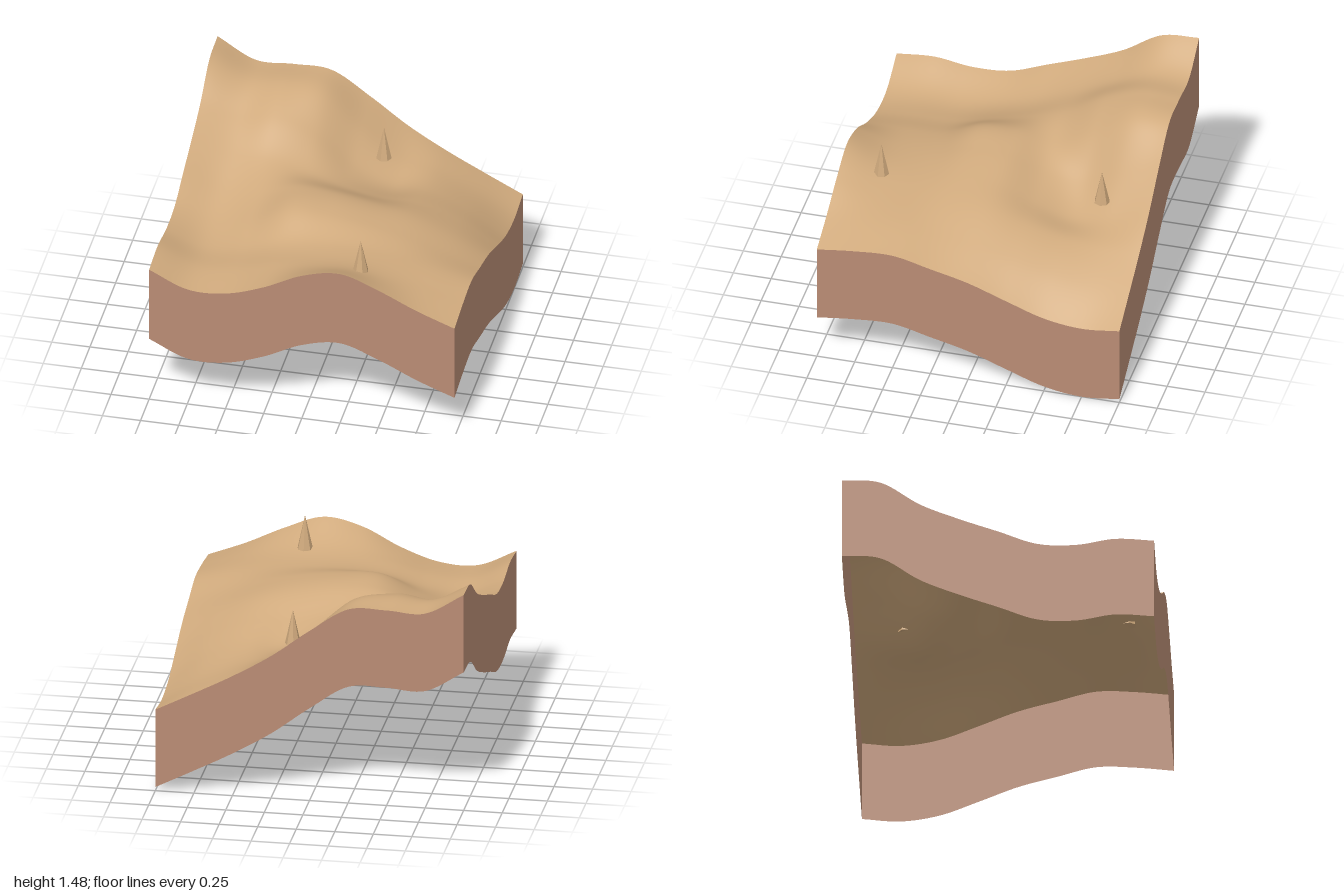
import * as THREE from 'three';

const SEGMENTS = 72;
const DEPTH = 0.533; // height of the cut sides

// Control heights every 0.25: rows run from back (z = -1) to front, columns from x = -1 to 1
const HEIGHTS = [
  [1.485, 1.34, 1.345, 1.335, 1.17, 0.98, 0.825, 0.69, 0.56],
  [1.46, 1.335, 1.35, 1.31, 1.09, 0.90, 0.82, 0.70, 0.535],
  [1.30, 1.23, 1.26, 1.17, 0.96, 0.85, 0.85, 0.75, 0.57],
  [1.19, 1.11, 1.11, 1.05, 0.97, 0.92, 0.915, 0.82, 0.66],
  [1.095, 1.0, 1.03, 1.09, 1.075, 1.03, 0.98, 0.88, 0.755],
  [1.0, 0.92, 0.97, 1.085, 1.08, 1.045, 0.99, 0.91, 0.82],
  [0.985, 0.885, 0.91, 0.98, 1.01, 1.01, 0.985, 0.945, 0.88],
  [1.02, 0.90, 0.91, 0.975, 1.02, 1.035, 1.0, 0.945, 0.87],
  [1.0, 0.885, 0.89, 0.975, 1.10, 1.15, 1.06, 0.94, 0.84],
];

// Smooth curve through evenly spaced values, t from -1 to 1
function spline(values, t) {
  const n = values.length - 1;
  const f = THREE.MathUtils.clamp((t + 1) / 2, 0, 1) * n;
  const i = Math.min(Math.floor(f), n - 1);
  const u = f - i;
  const b = values[i], c = values[i + 1];
  const a = i > 0 ? values[i - 1] : 2 * b - c;
  const d = i + 2 <= n ? values[i + 2] : 2 * c - b;
  return b + 0.5 * u * (c - a + u * (2 * a - 5 * b + 4 * c - d + u * (3 * (b - c) + d - a)));
}

const heightAt = (x, z) => spline(HEIGHTS.map((row) => spline(row, x)), z);

export function createModel() {
  const group = new THREE.Group();
  const sand = new THREE.MeshStandardMaterial({ name: 'sand', color: 0xd0aa7d, side: THREE.DoubleSide });
  const clay = new THREE.MeshStandardMaterial({ name: 'clay', color: 0xb98c74, side: THREE.DoubleSide });

  function add(name, geometry, material) {
    const mesh = new THREE.Mesh(geometry, material);
    mesh.name = name;
    group.add(mesh);
    return mesh;
  }

  // Rolling ground
  const ground = new THREE.PlaneGeometry(2, 2, SEGMENTS, SEGMENTS).rotateX(-Math.PI / 2);
  const gp = ground.attributes.position;
  for (let i = 0; i < gp.count; i++) gp.setY(i, heightAt(gp.getX(i), gp.getZ(i)));
  ground.computeVertexNormals();
  add('ground', ground, sand);

  // Cut sides, whose lower edge repeats the upper one; the bottom is open
  ['frontSide', 'leftSide', 'backSide', 'rightSide'].forEach((name, k) => {
    const side = new THREE.PlaneGeometry(2, 1, SEGMENTS, 1).translate(0, 0, 1).rotateY(k * Math.PI / 2);
    const p = side.attributes.position;
    for (let i = 0; i < p.count; i++) {
      p.setY(i, heightAt(p.getX(i), p.getZ(i)) - (p.getY(i) > 0 ? 0 : DEPTH));
    }
    add(name, side, clay);
  });

  // Faceted spires: x, base y, z, turn
  [
    [0.33, 1.025, 0.75, Math.PI],
    [0.165, 0.943, -0.665, Math.PI / 2],
  ].forEach(([x, y, z, turn], k) => {
    const cone = new THREE.ConeGeometry(0.051, 0.23, 7).translate(0, 0.115, 0).toNonIndexed();
    cone.computeVertexNormals();
    const spire = add(k ? 'backSpire' : 'frontSpire', cone, sand);
    spire.position.set(x, y, z);
    spire.rotation.y = turn;
  });

  return group;
}
